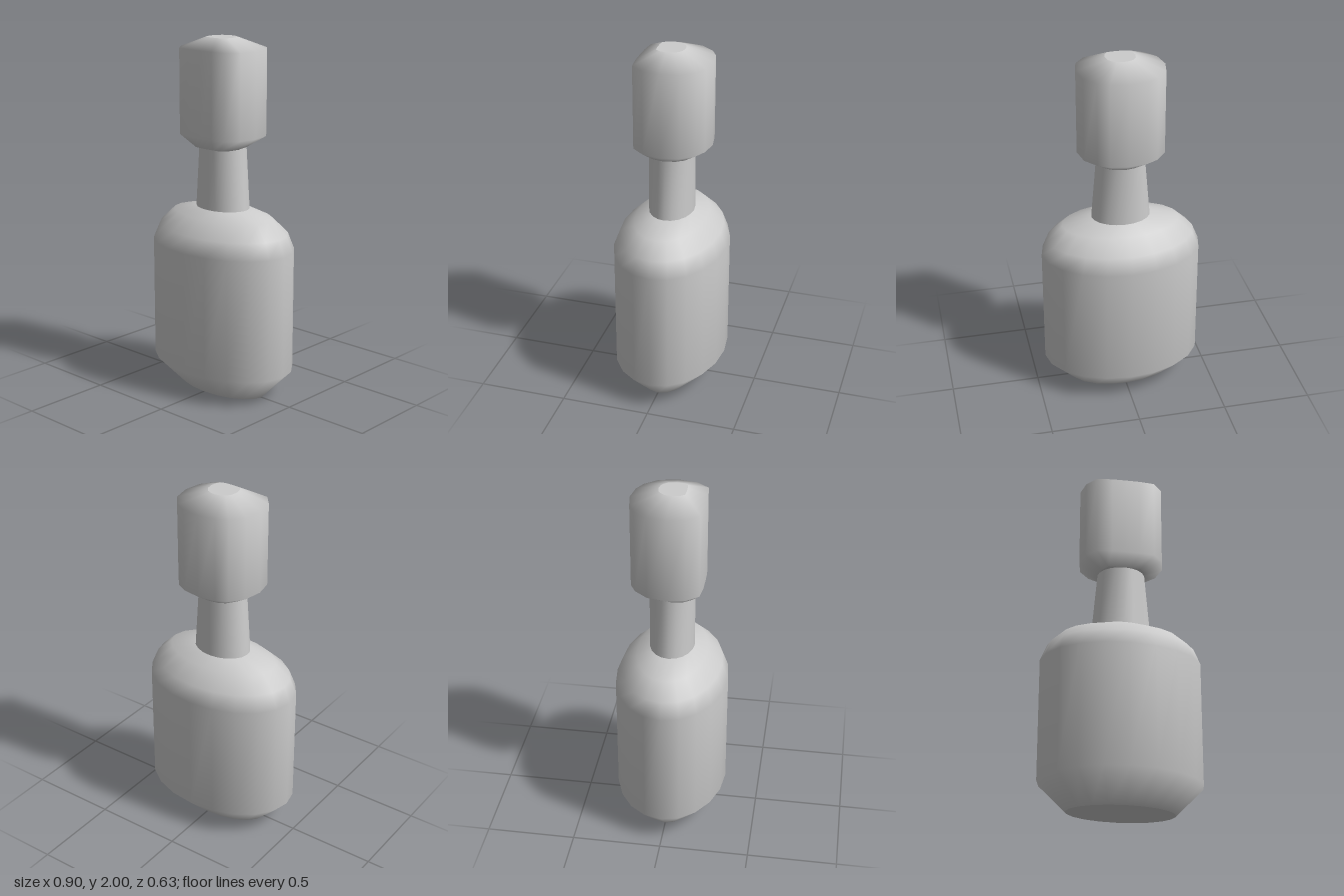
import * as THREE from 'three';

const material = new THREE.MeshStandardMaterial({ color: 0xcccccc });

// Skin a stack of rings (arrays of [x, y, z], bottom to top), with flat caps where asked.
function loft(name, rings, capBottom, capTop) {
  const n = rings[0].length;
  const pos = rings.flat(2);
  const index = [];
  for (let j = 0; j < rings.length - 1; j++) {
    for (let i = 0; i < n; i++) {
      const a = j * n + i, b = j * n + (i + 1) % n;
      index.push(a, a + n, b, b, a + n, b + n);
    }
  }
  const cap = (ring, up) => {
    const start = pos.length / 3;
    pos.push(...ring.flat());
    for (let i = 1; i < n - 1; i++) {
      index.push(start, start + (up ? i + 1 : i), start + (up ? i : i + 1));
    }
  };
  if (capBottom) cap(rings[0], false);
  if (capTop) cap(rings[rings.length - 1], true);
  const geo = new THREE.BufferGeometry();
  geo.setAttribute('position', new THREE.Float32BufferAttribute(pos, 3));
  geo.setIndex(index);
  geo.computeVertexNormals();
  const mesh = new THREE.Mesh(geo, material);
  mesh.name = name;
  return mesh;
}

// Elliptical ring with half-widths rx and rz.
function ellipse(y, rx, rz, sides) {
  return Array.from({ length: sides }, (_, i) => {
    const a = (i / sides) * Math.PI * 2;
    return [rx * Math.cos(a), y, rz * Math.sin(a)];
  });
}

// Head outline, round at the back with a flattened face; listed from front to back on one side.
const half = [[0.08, 0.177], [0.165, 0.168], [0.22, 0.1], [0.24, 0], [0.22, -0.105], [0.162, -0.177], [0.1, -0.21]];
const outline = [
  [0, 0.178], ...half.map(([x, z]) => [-x, z]),
  [0, -0.226], ...half.slice().reverse(),
].reverse();
// Reversed so the ring runs from +x towards +z, as the ellipses do.
const headRing = (y, sx, sz, dz = 0) => outline.map(([x, z]) => [-x * sx, y, z * sz + dz]).reverse();

export function createModel() {
  const model = new THREE.Group();

  // Oval body with a chamfered foot and rounded shoulders
  const body = [
    [0, 0.295, 0.158], [0.16, 0.45, 0.315], [0.85, 0.45, 0.315],
    [0.94, 0.413, 0.28], [1.02, 0.33, 0.195], [1.06, 0.165, 0.125],
  ].map(([y, rx, rz]) => ellipse(y, rx, rz, 20));
  model.add(loft('body', body, true, false));

  // Tapered neck
  model.add(loft('neck', [ellipse(1.05, 0.166, 0.125, 20), ellipse(1.42, 0.133, 0.125, 20)], false, false));

  // Head with sloped underside and shallow domed top
  const head = [
    headRing(1.4, 0.55, 0.62, 0.015), headRing(1.47, 1, 1),
    headRing(1.94, 1, 1), headRing(2, 0.34, 0.37, 0.01),
  ];
  // Keep the rings running the same way round as the ellipses
  const area = outline.reduce((s, [x, z], i) => {
    const [u, w] = outline[(i + 1) % outline.length];
    return s + x * w - u * z;
  }, 0);
  // Mirroring and reversing cancel, so the ring direction equals the outline's
  if (area < 0) head.forEach((ring) => ring.reverse());
  model.add(loft('head', head, true, true));

  return model;
}
